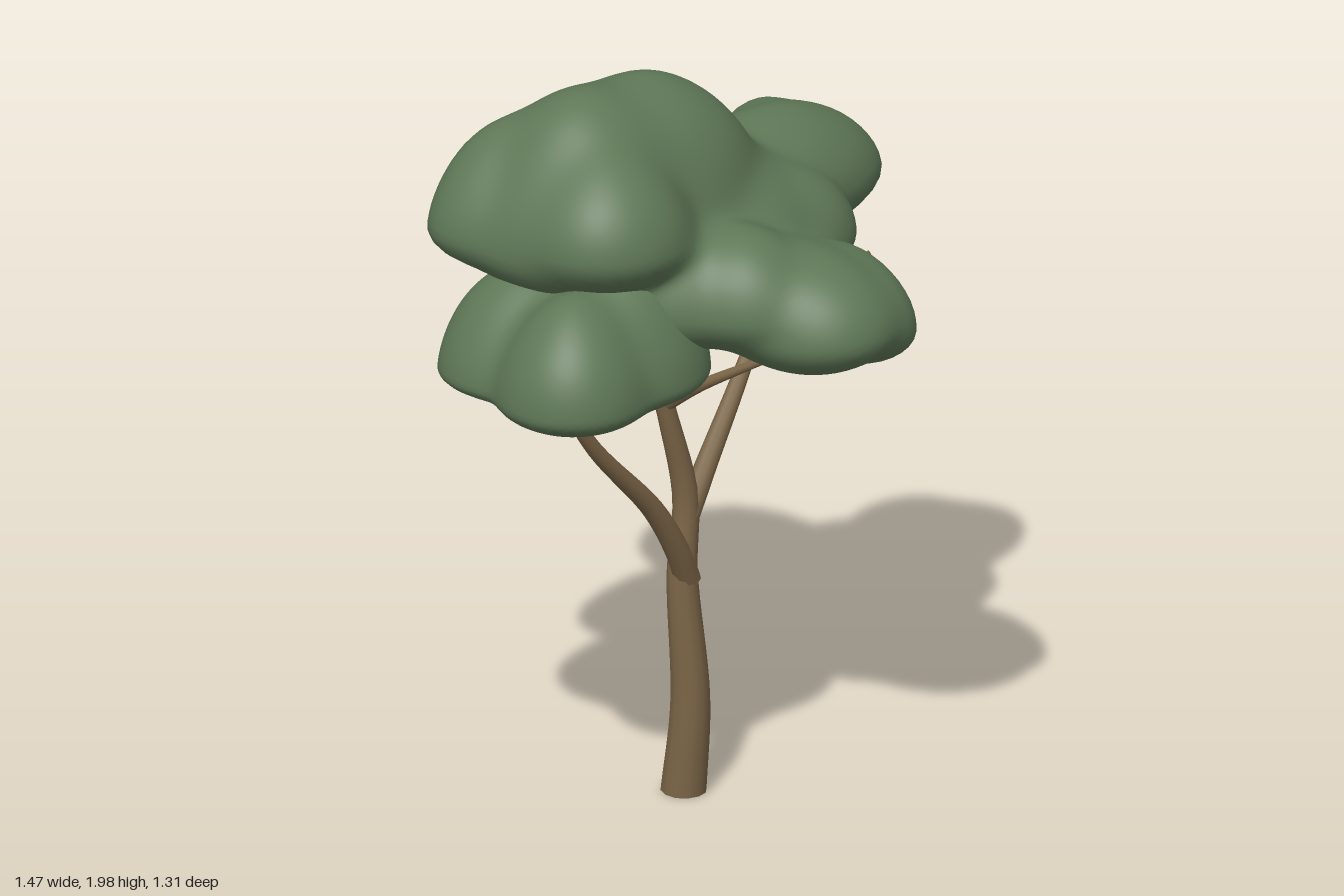
import * as THREE from 'three';
import { mergeVertices } from 'three/addons/utils/BufferGeometryUtils.js';

const leaf = new THREE.MeshStandardMaterial({ color: 0x5f7857 });
leaf.name = 'leaf green';
const bark = new THREE.MeshStandardMaterial({ color: 0x7b6547 });
bark.name = 'bark brown';

// Tapered limb: a tube whose rings shrink from r0 to r1 along the path
function limb(name, points, r0, r1, sides = 10) {
  const curve = new THREE.CatmullRomCurve3(points.map((p) => new THREE.Vector3(...p)), false, 'centripetal');
  const rings = points.length * 5;
  const geo = new THREE.TubeGeometry(curve, rings, 1, sides);
  const pos = geo.attributes.position;
  const v = new THREE.Vector3();
  for (let i = 0; i <= rings; i++) {
    const c = curve.getPointAt(i / rings);
    for (let j = 0; j <= sides; j++) {
      const k = i * (sides + 1) + j;
      v.fromBufferAttribute(pos, k).sub(c).multiplyScalar(r0 + (r1 - r0) * (i / rings)).add(c);
      pos.setXYZ(k, v.x, Math.max(0, v.y), v.z);
    }
  }
  const mesh = new THREE.Mesh(geo, bark);
  mesh.name = name;

  // Closed tip
  const tip = new THREE.Mesh(new THREE.CircleGeometry(r1, sides), bark);
  tip.name = name + 'Tip';
  tip.position.copy(curve.getPointAt(1));
  tip.quaternion.setFromUnitVectors(new THREE.Vector3(0, 0, 1), curve.getTangentAt(1));
  mesh.add(tip);
  return mesh;
}

// Softly blended, slightly pointed lobes: [cx, cy, cz, rx, height above, depth below, rz]
function field(p, lobes) {
  let sum = 0;
  for (const [cx, cy, cz, rx, up, down, rz] of lobes) {
    const dy = p.y - cy;
    const across = Math.hypot((p.x - cx) / rx, (p.z - cz) / rz);
    const along = Math.abs(dy) / (dy > 0 ? up : down);
    const q = (across ** 1.8 + along ** 1.8) ** (1 / 1.8);
    sum += Math.exp(-10 * (q - 1));
  }
  const lumps = 0.03 * Math.sin(9 * p.x + 2) * Math.sin(8 * p.z + 1) + 0.02 * Math.sin(13 * p.y + 7 * p.x - 6 * p.z);
  return -Math.log(sum) / 10 + lumps;
}

// Leaf mass: a sphere shrunk from outside onto the blended lobes
function leafMass(name, centre, lobes) {
  const base = new THREE.IcosahedronGeometry(1, 28);
  base.deleteAttribute('uv');
  base.deleteAttribute('normal');
  const geo = mergeVertices(base, 1e-5);
  const pos = geo.attributes.position;
  const c = new THREE.Vector3(...centre);
  const d = new THREE.Vector3();
  const p = new THREE.Vector3();
  for (let i = 0; i < pos.count; i++) {
    d.fromBufferAttribute(pos, i).normalize();
    const inside = (r) => field(p.copy(c).addScaledVector(d, r), lobes) < 0;
    let r = 1.1;
    while (r > 0.05 && !inside(r)) r -= 0.02;
    let lo = r, hi = r + 0.02;
    for (let n = 0; n < 8; n++) {
      const mid = (lo + hi) / 2;
      if (inside(mid)) lo = mid; else hi = mid;
    }
    p.copy(c).addScaledVector(d, lo);
    pos.setXYZ(i, p.x, p.y, p.z);
  }
  geo.computeVertexNormals();
  const mesh = new THREE.Mesh(geo, leaf);
  mesh.name = name;
  return mesh;
}

export function createModel() {
  const tree = new THREE.Group();
  tree.name = 'tree';

  // Trunk, running on into the middle branch
  tree.add(limb('trunk', [[-0.01, 0, 0.03], [0, 0.25, 0.045], [-0.01, 0.6, 0.025], [0.005, 0.8, 0.02],
    [-0.05, 1.05, 0.01], [-0.11, 1.28, 0]], 0.06, 0.018, 12));
  const foot = new THREE.Mesh(new THREE.CircleGeometry(0.06, 12).rotateX(Math.PI / 2), bark);
  foot.name = 'trunkFoot';
  foot.position.set(-0.01, 0.001, 0.03);
  tree.add(foot);

  // Branches and twigs
  tree.add(
    limb('rightBranch', [[0, 0.58, 0.035], [-0.05, 0.68, 0.05], [-0.14, 0.82, 0.06], [-0.35, 1.05, 0.07],
      [-0.49, 1.27, 0.07]], 0.035, 0.014),
    limb('leftBranch', [[0, 0.74, 0.025], [0.07, 0.84, 0.01], [0.36, 1.22, -0.08], [0.44, 1.4, -0.14]], 0.033, 0.01),
    limb('leftTwig', [[0.34, 1.19, -0.07], [0.41, 1.26, 0], [0.54, 1.36, 0.12]], 0.016, 0.008),
    limb('backBranch', [[-0.02, 0.95, 0.01], [0.015, 1.05, -0.09], [0.03, 1.12, -0.18], [0.05, 1.36, -0.33]], 0.028, 0.01),
    limb('frontTwig', [[-0.055, 1.07, 0.01], [-0.03, 1.15, 0.12], [0.05, 1.25, 0.28]], 0.02, 0.01),
  );

  // Main canopy, lobe by lobe
  tree.add(leafMass('canopy', [0, 1.5, 0.05], [
    // crown
    [-0.27, 1.6, -0.05, 0.32, 0.37, 0.16, 0.29],
    [-0.06, 1.6, -0.05, 0.3, 0.37, 0.16, 0.27],
    // shoulders
    [-0.41, 1.62, -0.19, 0.22, 0.26, 0.11, 0.18],
    [-0.34, 1.64, 0.13, 0.21, 0.23, 0.12, 0.2],
    // core and fillers between the lobes
    [0.1, 1.52, 0, 0.28, 0.2, 0.16, 0.28],
    [0.28, 1.47, 0.1, 0.19, 0.17, 0.12, 0.16],
    [-0.05, 1.45, 0.3, 0.19, 0.2, 0.12, 0.2],
    [-0.16, 1.45, 0.2, 0.19, 0.2, 0.13, 0.18],
    [0.27, 1.5, -0.24, 0.18, 0.17, 0.11, 0.15],
    [-0.18, 1.52, -0.25, 0.2, 0.17, 0.13, 0.14],
    [-0.16, 1.5, 0.04, 0.24, 0.15, 0.17, 0.24],
    // left lobe
    [0.4, 1.52, -0.11, 0.34, 0.21, 0.15, 0.21],
    [0.5, 1.51, -0.24, 0.15, 0.17, 0.08, 0.15],
    // back lobe
    [0.04, 1.54, -0.37, 0.23, 0.22, 0.12, 0.29],
    // front lobe
    [0.09, 1.39, 0.38, 0.22, 0.2, 0.13, 0.28],
    [0.23, 1.35, 0.38, 0.14, 0.2, 0.11, 0.23],
  ]));

  // Lower lobe, rising under the crown on the right
  tree.add(leafMass('lowerLobe', [-0.37, 1.33, 0.06], [
    [-0.53, 1.28, 0.2, 0.2, 0.27, 0.08, 0.2],
    [-0.34, 1.29, 0.18, 0.24, 0.28, 0.08, 0.2],
    [-0.46, 1.28, -0.04, 0.25, 0.27, 0.07, 0.23],
    [-0.24, 1.29, -0.14, 0.2, 0.24, 0.08, 0.23],
    [-0.22, 1.29, 0.03, 0.19, 0.24, 0.08, 0.22],
  ]));
  return tree;
}
